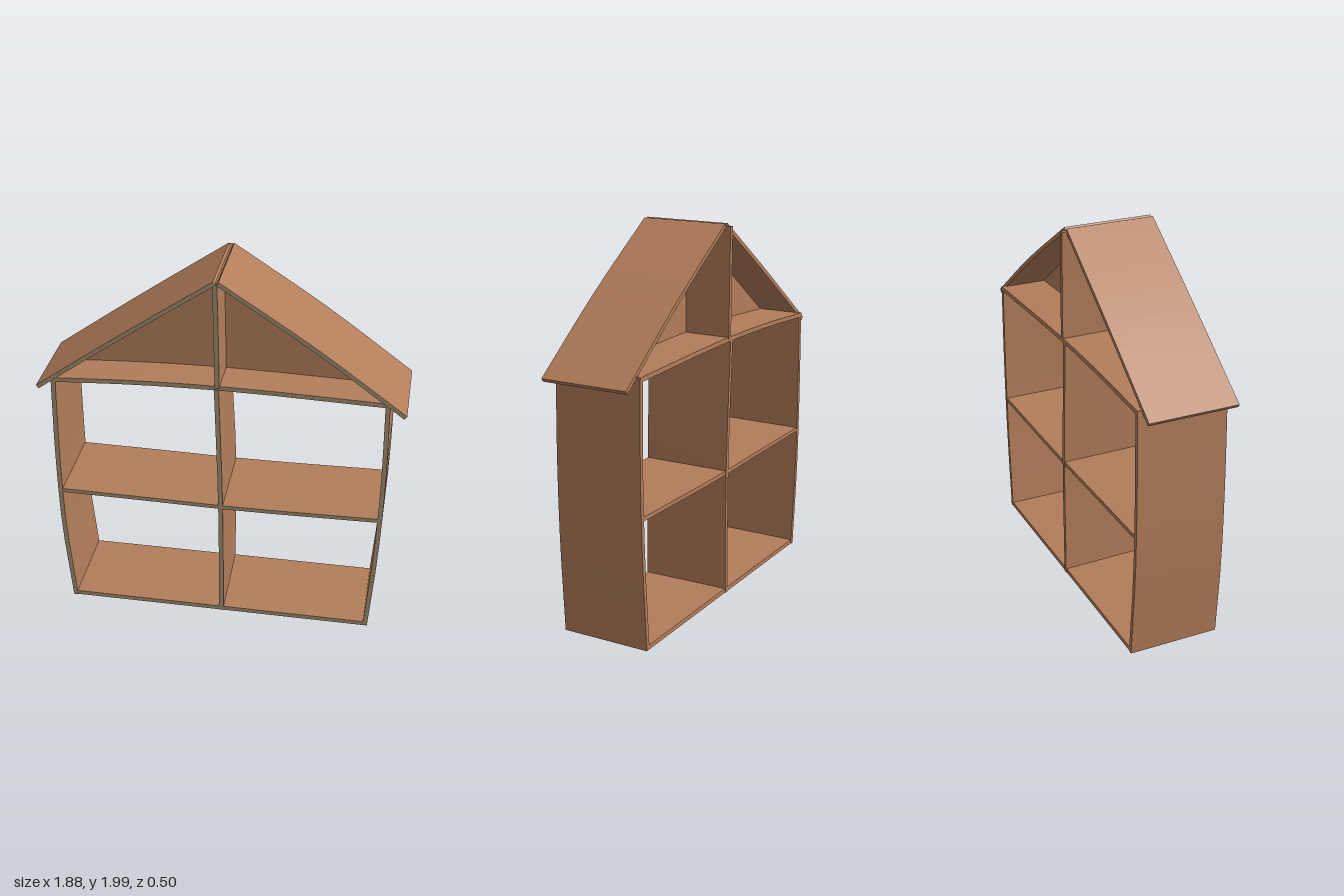
import * as THREE from 'three';
import { toCreasedNormals } from 'three/addons/utils/BufferGeometryUtils.js';

const wood = new THREE.MeshStandardMaterial({ color: 0xb27d5a });
wood.name = 'brown wood';
const edge = new THREE.MeshStandardMaterial({ color: 0x9f8c70 });
edge.name = 'grey front edge';

// Curved board lofted between a front and a back centre line; its front edge is grey
function board(name, front, back, thick = 0.024, steps = 8) {
  const curves = [front, back].map(
    (pts) => new THREE.CatmullRomCurve3(pts.map((p) => new THREE.Vector3(...p))));
  const rows = [];
  for (let i = 0; i <= steps; i++) {
    const row = [];
    for (const c of curves) {
      const p = c.getPoint(i / steps), t = c.getTangent(i / steps);
      const n = new THREE.Vector3(-t.y, t.x, 0).normalize().multiplyScalar(thick / 2);
      row.push(p.clone().add(n), p.clone().sub(n));
    }
    rows.push(row); // front +n, front -n, back +n, back -n
  }
  const pos = [];
  const quad = (a, b, c, d) => {
    for (const v of [a, b, c, a, c, d]) pos.push(v.x, v.y, v.z);
  };
  const strip = (i, j) => {
    for (let k = 0; k < steps; k++) quad(rows[k][i], rows[k + 1][i], rows[k + 1][j], rows[k][j]);
  };
  strip(1, 0); // front edge
  const frontCount = pos.length / 3;
  strip(0, 2);
  strip(2, 3);
  strip(3, 1);
  const s = rows[0], e = rows[steps];
  quad(s[0], s[2], s[3], s[1]);
  quad(e[0], e[1], e[3], e[2]);

  let geo = new THREE.BufferGeometry();
  geo.setAttribute('position', new THREE.Float32BufferAttribute(pos, 3));
  geo = toCreasedNormals(geo, 0.5);
  geo.clearGroups();
  geo.addGroup(0, frontCount, 0);
  geo.addGroup(frontCount, pos.length / 3 - frontCount, 1);
  const mesh = new THREE.Mesh(geo, [edge, wood]);
  mesh.name = name;
  return mesh;
}

// Same centre line at front and back
const straight = (name, pts, zf, zb, thick) =>
  board(name, pts.map(([x, y]) => [x, y, zf]), pts.map(([x, y]) => [x, y, zb]), thick);

export function createModel() {
  const house = new THREE.Group();
  house.name = 'houseShelf';

  // Bowed side walls, their front edges leaning back towards the top
  const wall = (name, pts) => board(name,
    pts.map(([x, y], i) => [x, y, 0.236 - i * 0.004]),
    pts.map(([x, y]) => [x, y, -0.248]));
  house.add(wall('rightWall', [[-0.817, 0.002], [-0.856, 0.48], [-0.865, 0.93], [-0.86, 1.38]]));
  house.add(wall('leftWall', [[0.803, 0.002], [0.835, 0.48], [0.847, 0.93], [0.842, 1.385]]));

  // Floors
  house.add(straight('groundFloor', [[-0.82, 0.015], [0, 0.014], [0.806, 0.012]], 0.235, -0.246));
  house.add(straight('middleFloor',
    [[-0.852, 0.697], [-0.4, 0.692], [0.1, 0.685], [0.835, 0.695]], 0.229, -0.246, 0.022));
  house.add(straight('atticFloor',
    [[-0.872, 1.372], [-0.4, 1.396], [0.1, 1.402], [0.852, 1.383]], 0.225, -0.25));

  // Twisted divider through both storeys, and a separate one in the attic
  house.add(board('divider',
    [[0.011, 0.002, 0.237], [0.006, 0.7, 0.231], [-0.014, 1.395, 0.227]],
    [[-0.002, 0.002, -0.249], [0, 0.7, -0.249], [-0.034, 1.395, -0.25]]));
  house.add(straight('atticDivider', [[-0.01, 1.405], [-0.014, 1.7], [-0.02, 1.98]], 0.232, -0.252));

  // Gently bulging roof slopes with eaves
  house.add(straight('roofRight',
    [[-0.938, 1.337], [-0.49, 1.659], [-0.02, 1.985]], 0.248, -0.225, 0.022));
  house.add(straight('roofLeft',
    [[-0.004, 1.985], [0.485, 1.665], [0.933, 1.337]], 0.248, -0.225, 0.022));

  // Gable panel halfway back in the attic
  const gable = new THREE.Shape();
  gable.moveTo(-0.86, 1.385);
  gable.quadraticCurveTo(0, 1.42, 0.85, 1.388);
  gable.lineTo(0.485, 1.66);
  gable.lineTo(-0.012, 1.98);
  gable.lineTo(-0.49, 1.655);
  const panel = new THREE.Mesh(
    new THREE.ExtrudeGeometry(gable, { depth: 0.022, bevelEnabled: false }), wood);
  panel.name = 'gablePanel';
  panel.position.z = 0.002;
  house.add(panel);

  return house;
}
